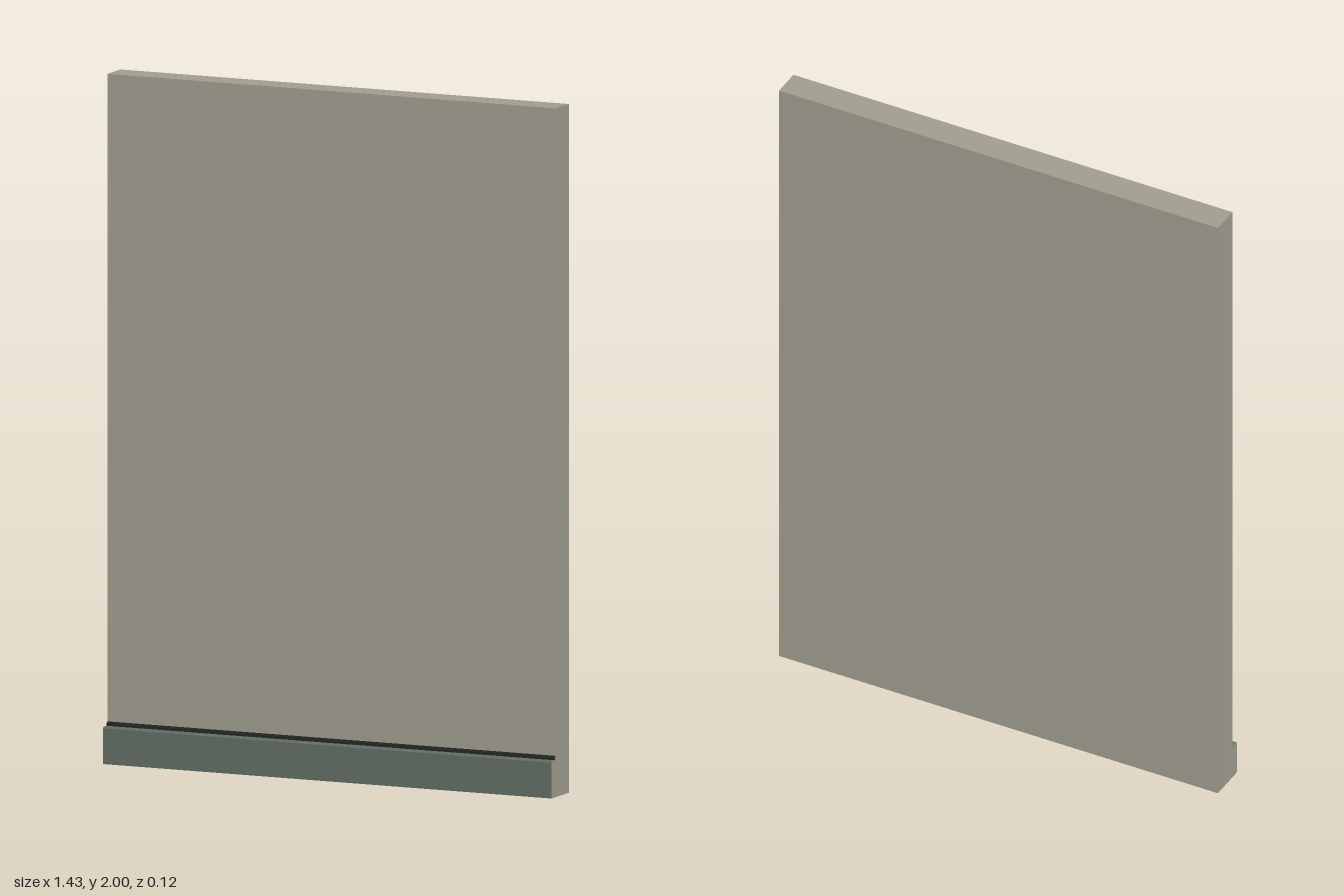
import * as THREE from 'three';

const WIDTH = 1.426;
const BACK = -0.058, FACE = 0.03, FRONT = 0.058;

const mat = (color) => new THREE.MeshStandardMaterial({ color });

// Extrude a [z, y] section across the full width, centred on x = 0
function moulding(name, section, endMaterial, faceMaterial) {
  const shape = new THREE.Shape(section.map(([z, y]) => new THREE.Vector2(-z, y)));
  const geometry = new THREE.ExtrudeGeometry(shape, { depth: WIDTH, bevelEnabled: false });
  geometry.translate(0, 0, -WIDTH / 2).rotateY(Math.PI / 2);
  const mesh = new THREE.Mesh(geometry, [endMaterial, faceMaterial]);
  mesh.name = name;
  return mesh;
}

export function createModel() {
  const group = new THREE.Group();
  group.name = 'wallPanel';
  const plaster = mat(0xa09d8e);
  const skirtingPaint = mat(0x616e64);
  const shadowLine = mat(0x20241f);

  // Plain wall slab with a dark underside
  const slab = new THREE.Mesh(
    new THREE.BoxGeometry(WIDTH, 2, FACE - BACK),
    [plaster, plaster, plaster, skirtingPaint, plaster, plaster]
  );
  slab.name = 'wallSlab';
  slab.position.set(0, 1, (FACE + BACK) / 2);
  group.add(slab);

  // Skirting board with a slightly eased top edge
  group.add(moulding('skirtingBoard',
    [[FACE, 0], [FRONT, 0], [FRONT, 0.104], [0.055, 0.108], [FACE, 0.108]],
    plaster, skirtingPaint));

  // Thin dark fillet where the skirting meets the wall
  group.add(moulding('skirtingTrim',
    [[FACE, 0.108], [0.036, 0.108], [0.034, 0.116], [FACE, 0.12]],
    plaster, shadowLine));

  return group;
}
